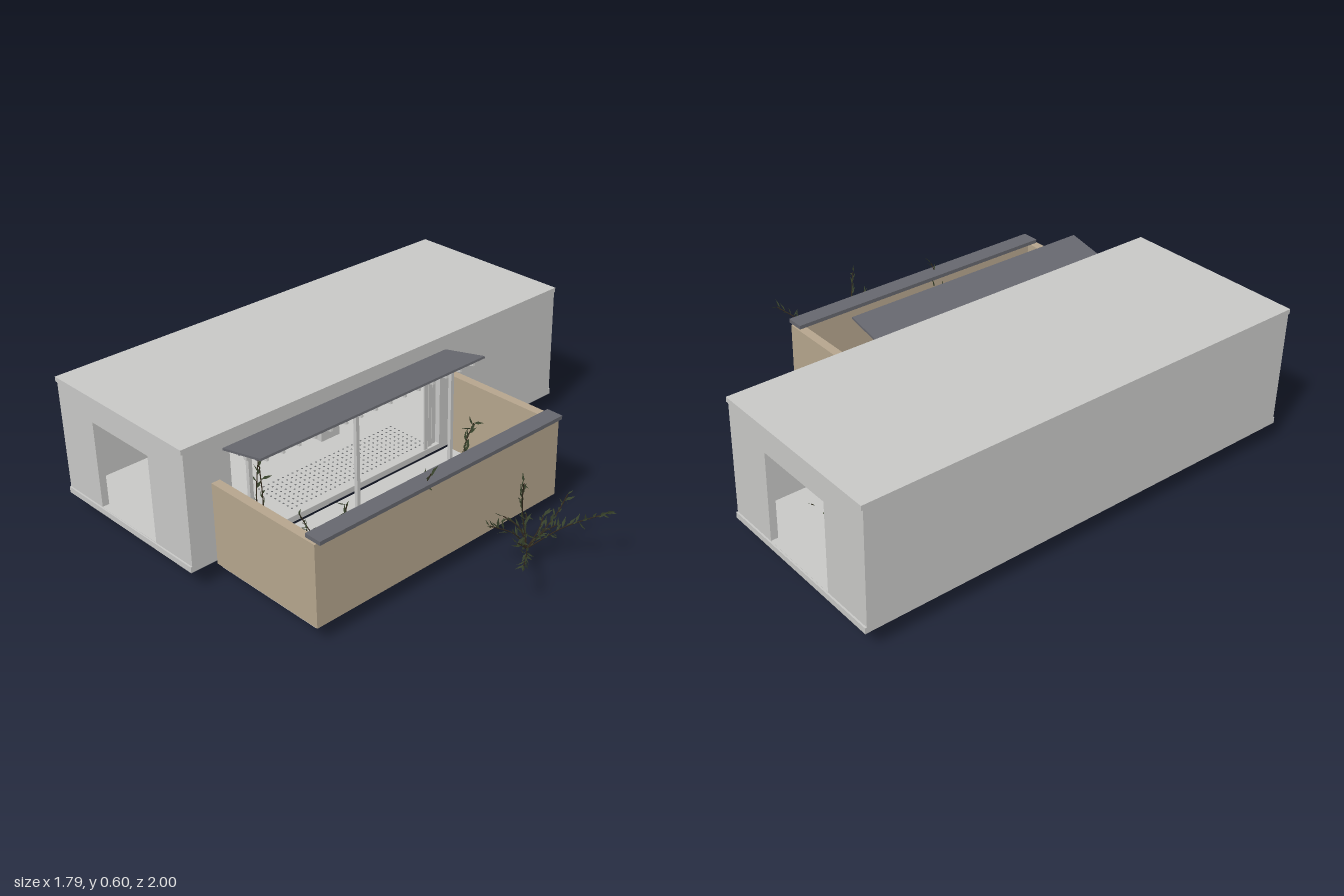
import * as THREE from 'three';
import { mergeGeometries } from 'three/addons/utils/BufferGeometryUtils.js';

const mat = (name, color, side = THREE.FrontSide) => {
  const m = new THREE.MeshStandardMaterial({ color, side });
  m.name = name;
  return m;
};

export function createModel() {
  const model = new THREE.Group();
  model.name = 'courtyardHouse';
  const concrete = mat('concrete', 0xc8c8c6);
  const clay = mat('clayWall', 0xb5a58d);
  const slate = mat('slate', 0x66676e);
  const moss = mat('moss', 0x666d49);
  const bushGreen = mat('bushGreen', 0x555b3c);
  const leafGreen = mat('leafGreen', 0x36402a, THREE.DoubleSide);
  const bark = mat('bark', 0x33291d);
  const dotGrey = mat('pebbleGrey', 0x77787a);

  const add = (name, geo, material, parent = model) => {
    const mesh = new THREE.Mesh(geo, material);
    mesh.name = name;
    parent.add(mesh);
    return mesh;
  };
  const boxGeo = (x0, x1, y0, y1, z0, z1) =>
    new THREE.BoxGeometry(x1 - x0, y1 - y0, z1 - z0)
      .translate((x0 + x1) / 2, (y0 + y1) / 2, (z0 + z1) / 2);
  const box = (name, material, ...b) => add(name, boxGeo(...b), material);

  // Wall panel in the xy plane with one rectangular opening
  const openWall = (u0, u1, v0, v1, h, depth) => {
    const rect = (Type, a, b, c, d) => {
      const s = new Type();
      s.moveTo(a, c); s.lineTo(b, c); s.lineTo(b, d); s.lineTo(a, d); s.closePath();
      return s;
    };
    const shape = rect(THREE.Shape, u0, u1, v0, v1);
    shape.holes.push(rect(THREE.Path, ...h));
    return new THREE.ExtrudeGeometry(shape, { depth, bevelEnabled: false });
  };

  // Main building: slab, roof, walls
  box('floorSlab', concrete, -0.9, -0.11, 0.09, 0.115, -1, 1);
  box('roofSlab', concrete, -0.9, -0.11, 0.585, 0.605, -1, 1);
  box('leftoverWall', concrete, -0.9, -0.87, 0.115, 0.585, -0.993, 0.993).name = 'closedSideWall';
  for (const [name, z] of [['frontWall', 0.963], ['backWall', -0.993]])
    add(name, openWall(-0.87, -0.14, 0.115, 0.585, [-0.68, -0.33, 0.116, 0.49], 0.03), concrete).position.z = z;
  const side = add('gardenWall',
    openWall(-0.993, 0.993, 0.115, 0.585, [-0.79, 0.29, 0.116, 0.515], 0.03), concrete);
  side.rotation.y = Math.PI / 2;
  side.position.x = -0.14;
  box('interiorBlock', concrete, -0.54, -0.465, 0.115, 0.235, -0.05, 0.05);

  // Sliding door frames stacked at the far end of the opening
  for (let i = 0; i < 3; i++)
    box('doorFrame', concrete, -0.135 + i * 0.008, -0.129 + i * 0.008, 0.116, 0.515, -0.285 + i * 0.03, -0.265 + i * 0.03);

  // Dotted floor finish inside the opening
  const dots = [];
  for (let x = -0.36; x < -0.14; x += 0.025)
    for (let z = -0.25; z < 0.5; z += 0.025)
      dots.push(boxGeo(x, x + 0.006, 0.115, 0.117, z, z + 0.006));
  add('floorDots', mergeGeometries(dots), dotGrey);

  // Walled courtyard
  box('courtyardSlab', concrete, -0.11, 0.41, 0.05, 0.08, -0.355, 0.86);
  box('courtyardFrontWall', clay, -0.11, 0.445, 0.075, 0.422, 0.842, 0.88);
  box('courtyardBackWall', clay, -0.11, 0.445, 0.075, 0.422, -0.38, -0.342);
  box('courtyardSideWall', clay, 0.41, 0.445, 0.075, 0.422, -0.342, 0.842);
  box('wallCap', slate, 0.39, 0.465, 0.424, 0.44, -0.375, 0.872);

  // Veranda: posts, beam, rafters and a canopy rising outward
  for (const z of [-0.27, 0.25, 0.77])
    box('verandaPost', concrete, -0.036, -0.02, 0.08, 0.525, z - 0.008, z + 0.008);
  box('verandaBeam', concrete, -0.036, -0.02, 0.512, 0.528, -0.28, 0.785);
  const canopy = new THREE.Group();
  canopy.name = 'canopy';
  canopy.position.set(-0.003, 0.56, 0.25);
  canopy.rotation.z = 0.205;
  model.add(canopy);
  add('canopyRoof', boxGeo(-0.11, 0.11, -0.004, 0.005, -0.57, 0.57), slate, canopy);
  for (let i = 0; i < 15; i++) {
    const z = -0.525 + i * 0.075;
    add('rafter', boxGeo(-0.105, 0.09, -0.024, -0.013, z - 0.005, z + 0.005), concrete, canopy);
  }
  for (const x of [-0.03, 0.07])
    add('purlin', boxGeo(x - 0.005, x + 0.005, -0.013, -0.004, -0.56, 0.56), slate, canopy);

  // Moss patches and clipped bush
  for (const [x, z, r] of [[0.14, 0.06, 0.09], [0.28, 0.12, 0.075], [0.315, 0.4, 0.065], [0.28, 0.655, 0.075]])
    add('mossPatch', new THREE.CylinderGeometry(r, r, 0.006, 32).translate(x, 0.083, z), moss);
  add('roundBush', new THREE.SphereGeometry(0.072, 24, 16).translate(0.29, 0.075, 0.6), bushGreen);

  // Seeded random numbers for leaf scatter
  let seed = 7;
  const rnd = () => (seed = (seed * 16807) % 2147483647) / 2147483647 - 0.5;

  // Folded, pointed leaf lying along +y
  const leaf = new THREE.BufferGeometry();
  leaf.setAttribute('position', new THREE.Float32BufferAttribute([
    0, 0, 0, 0.006, 0.017, 0.002, 0, 0.04, 0, 0, 0, 0, 0, 0.04, 0, -0.006, 0.017, 0.002], 3));
  leaf.computeVertexNormals();
  const up = new THREE.Vector3(0, 1, 0);

  // Plant: arching stems from a base to each tip, with leaves along them
  const plant = (name, base, tips, density = 60) => {
    const b = new THREE.Vector3(...base), stems = [], leaves = [];
    for (const t of tips) {
      const tip = new THREE.Vector3(...t);
      const mid = b.clone().lerp(tip, 0.5).add(new THREE.Vector3(rnd() * 0.05, 0.01 + rnd() * 0.04, rnd() * 0.05));
      const curve = new THREE.CatmullRomCurve3([b, mid, tip]);
      stems.push(new THREE.TubeGeometry(curve, 8, 0.0022, 5));
      const n = Math.ceil(curve.getLength() * density);
      for (let i = 1; i <= n; i++) {
        const u = 0.15 + 0.85 * i / n;
        const dir = curve.getTangentAt(u).add(new THREE.Vector3(rnd(), rnd(), rnd()).multiplyScalar(2.2)).normalize();
        const q = new THREE.Quaternion().setFromUnitVectors(up, dir);
        const s = 0.9 + rnd() * 0.6;
        leaves.push(leaf.clone().applyMatrix4(
          new THREE.Matrix4().compose(curve.getPointAt(u), q, new THREE.Vector3(s, s, s))));
      }
    }
    const g = new THREE.Group();
    g.name = name;
    add('stems', mergeGeometries(stems), bark, g);
    add('leaves', mergeGeometries(leaves), leafGreen, g);
    model.add(g);
  };

  plant('outerShrub', [0.63, 0.08, 0], [
    [0.67, 0.42, 0.08], [0.86, 0.26, -0.19], [0.82, 0.21, 0.24], [0.53, 0.14, -0.11], [0.6, 0.25, 0.18],
    [0.66, 0.25, -0.19], [0.56, 0.22, 0.06], [0.72, 0.2, -0.06], [0.67, 0.17, 0.1], [0.6, 0.16, -0.13]]);
  plant('rearShrub', [-0.04, 0.09, -0.42], [
    [-0.08, 0.33, -0.42], [0.15, 0.2, -0.51], [-0.1, 0.2, -0.54], [0.03, 0.18, -0.47], [0.0, 0.25, -0.45]]);
  plant('indoorPlant', [-0.28, 0.1, -0.74], [
    [-0.41, 0.22, -0.72], [-0.36, 0.17, -0.78], [-0.24, 0.08, -0.74]], 45);
  plant('courtyardShrub', [0.29, 0.085, 0.12], [
    [0.36, 0.28, 0.33], [0.29, 0.3, 0.0], [0.17, 0.2, 0.06], [0.35, 0.25, 0.16], [0.31, 0.3, 0.2],
    [0.28, 0.2, 0.21], [0.34, 0.34, 0.08], [0.25, 0.24, 0.09]], 75);
  plant('cornerShrub', [0.14, 0.085, -0.2], [
    [0.3, 0.25, -0.18], [0.12, 0.32, -0.25], [0.22, 0.2, -0.13], [0.17, 0.25, -0.16]], 70);
  plant('wallShrub', [0.31, 0.085, 0.4], [
    [0.45, 0.47, 0.33], [0.38, 0.4, 0.29], [0.31, 0.25, 0.36], [0.28, 0.2, 0.43], [0.36, 0.22, 0.44]], 50);
  plant('verandaShrub', [0.12, 0.085, 0.55], [
    [0.13, 0.25, 0.45], [0.15, 0.2, 0.55], [0.11, 0.22, 0.74], [0.06, 0.25, 0.62]]);
  plant('lowShrub', [0.17, 0.085, 0.65], [
    [0.25, 0.2, 0.62], [0.2, 0.18, 0.67], [0.12, 0.22, 0.64]], 70);
  plant('tallCane', [-0.08, 0.085, 0.69], [[-0.08, 0.5, 0.68], [-0.06, 0.44, 0.7]], 30);

  return model;
}
